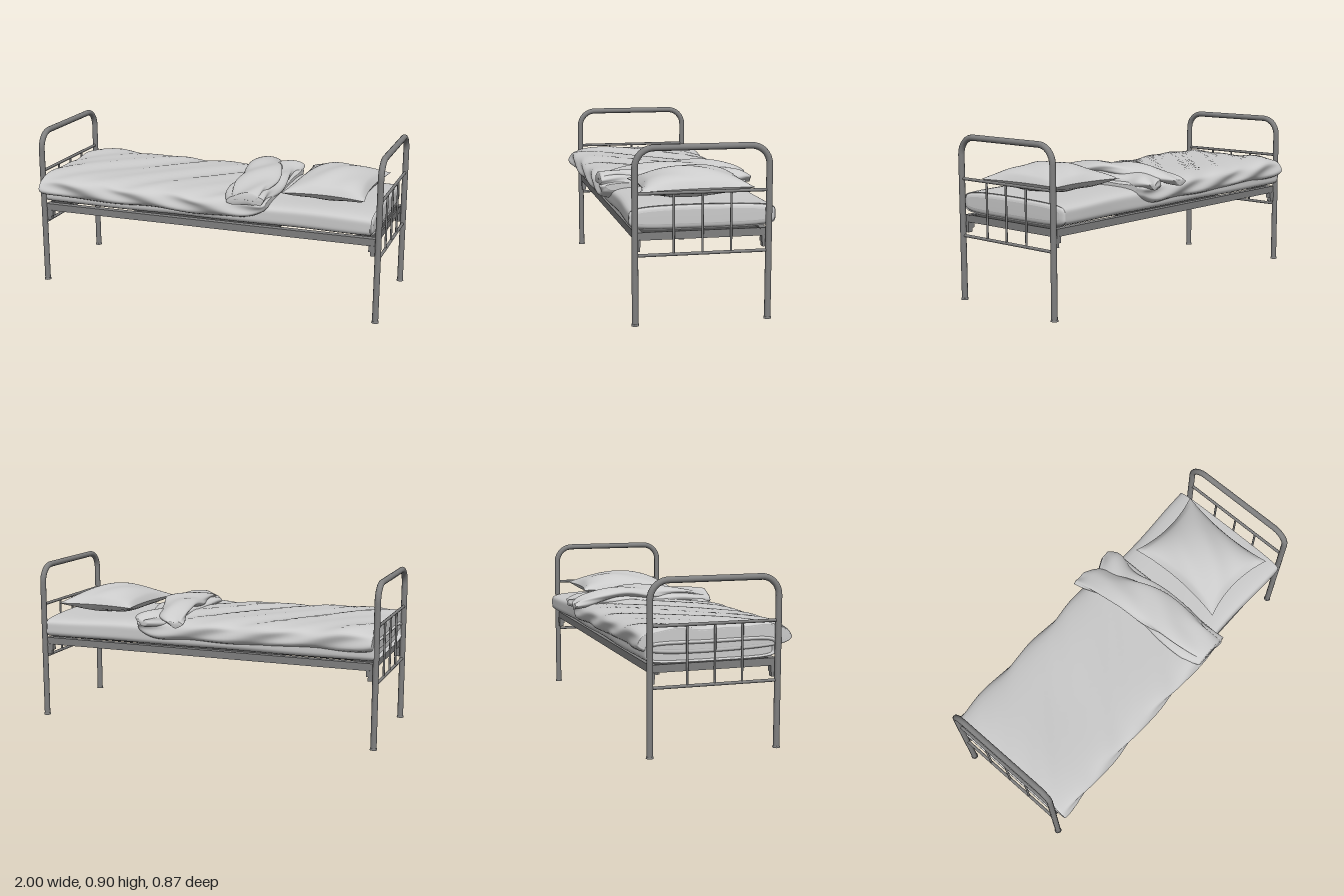
import * as THREE from 'three';

const metal = new THREE.MeshStandardMaterial({ color: 0x808080 });
const dark = new THREE.MeshStandardMaterial({ color: 0x4a4a4a });
const cloth = new THREE.MeshStandardMaterial({ color: 0xcccccc, side: THREE.DoubleSide });
const V = (x, y, z) => new THREE.Vector3(x, y, z);
const ZC = 0.008, ZP = 0.34; // frame centre line and post offset

function add(parent, name, geometry, material, x = 0, y = 0, z = 0) {
  const mesh = new THREE.Mesh(geometry, material);
  mesh.name = name;
  mesh.position.set(x, y, z);
  parent.add(mesh);
  return mesh;
}

// Straight round bar between two points
function bar(parent, name, a, b, r, material = metal, sides = 10) {
  const mesh = add(parent, name, new THREE.CylinderGeometry(r, r, a.distanceTo(b), sides), material);
  mesh.position.copy(a).add(b).multiplyScalar(0.5);
  mesh.quaternion.setFromUnitVectors(V(0, 1, 0), b.clone().sub(a).normalize());
}

// Smoothly blended row of a station table, t from 0 to 1
function sample(stations, t) {
  const f = t * (stations.length - 1);
  const i = Math.min(Math.floor(f), stations.length - 2);
  const k = f - i;
  return stations[i].map((v, c) => {
    const p0 = (stations[i - 1] || stations[i])[c], p1 = v;
    const p2 = stations[i + 1][c], p3 = (stations[i + 2] || stations[i + 1])[c];
    const m1 = (p2 - p0) / 2, m2 = (p3 - p1) / 2;
    return (2 * k ** 3 - 3 * k * k + 1) * p1 + (k ** 3 - 2 * k * k + k) * m1
      + (3 * k * k - 2 * k ** 3) * p2 + (k ** 3 - k * k) * m2;
  });
}

// Closed cushion-like skin: rows are [position, side0, side1, bottom, top].
// Along x the sides are z values; along z (descending) they are x values.
function loft(stations, rows, power, alongZ, wrinkle) {
  const n = 64, pos = [], idx = [];
  const put = (d, s, y) => (alongZ ? pos.push(s, y, d) : pos.push(d, y, s));
  for (let i = 0; i <= rows; i++) {
    const [d, s0, s1, y0, y1] = sample(stations, i / rows);
    for (let j = 0; j < n; j++) {
      const a = (j / n) * Math.PI * 2, c = Math.cos(a), s = Math.sin(a);
      const r = 1 / (Math.abs(c) ** power + Math.abs(s) ** power) ** (1 / power);
      const side = (s0 + s1) / 2 + (s1 - s0) / 2 * r * c;
      const [dSide, dY] = wrinkle(d, side, r * c, r * s);
      put(d, side + dSide, (y0 + y1) / 2 + (y1 - y0) / 2 * r * s + dY);
    }
  }
  for (let i = 0; i < rows; i++) for (let j = 0; j < n; j++) {
    const a = i * n + j, b = i * n + (j + 1) % n;
    idx.push(a, a + n, b, b, a + n, b + n);
  }
  // End caps
  for (const end of [0, rows]) {
    const [d, s0, s1, y0, y1] = sample(stations, end / rows);
    const centre = pos.length / 3;
    put(d, (s0 + s1) / 2, (y0 + y1) / 2);
    for (let j = 0; j < n; j++) {
      const a = end * n + j, b = end * n + (j + 1) % n;
      end ? idx.push(centre, b, a) : idx.push(centre, a, b);
    }
  }
  const g = new THREE.BufferGeometry();
  g.setAttribute('position', new THREE.Float32BufferAttribute(pos, 3));
  g.setIndex(idx);
  g.computeVertexNormals();
  return g;
}

// Bent tube end with rails, spindles and feet
function endFrame(name, x) {
  const g = new THREE.Group();
  g.name = name;
  const top = 0.883, R = 0.095, k = R * 0.45;
  const path = new THREE.CurvePath();
  path.add(new THREE.LineCurve3(V(0, 0, ZP), V(0, top - R, ZP)));
  path.add(new THREE.CubicBezierCurve3(V(0, top - R, ZP), V(0, top - k, ZP), V(0, top, ZP - k), V(0, top, ZP - R)));
  path.add(new THREE.LineCurve3(V(0, top, ZP - R), V(0, top, R - ZP)));
  path.add(new THREE.CubicBezierCurve3(V(0, top, R - ZP), V(0, top, k - ZP), V(0, top - k, -ZP), V(0, top - R, -ZP)));
  path.add(new THREE.LineCurve3(V(0, top - R, -ZP), V(0, 0, -ZP)));
  add(g, 'bentTube', new THREE.TubeGeometry(path, 120, 0.0165, 14), metal);
  for (const z of [-ZP, ZP]) add(g, 'foot', new THREE.CylinderGeometry(0.018, 0.02, 0.01, 14), metal, 0, 0.005, z);
  for (const y of [0.353, 0.66]) bar(g, 'crossRail', V(0, y, -ZP), V(0, y, ZP), 0.0085);
  for (const z of [-0.146, 0, 0.146]) bar(g, 'spindle', V(0, 0.353, z), V(0, 0.66, z), 0.006);
  g.position.set(x, 0, ZC);
  return g;
}

function bedBase() {
  const g = new THREE.Group();
  g.name = 'bedBase';
  for (const s of [-1, 1]) {
    // Angle-iron side and end rails
    add(g, 'sideRail', new THREE.BoxGeometry(1.94, 0.04, 0.008), metal, 0, 0.445, s * 0.334);
    add(g, 'sideRailLip', new THREE.BoxGeometry(1.94, 0.006, 0.035), metal, 0, 0.462, s * 0.318);
    add(g, 'endRail', new THREE.BoxGeometry(0.008, 0.04, 0.66), metal, s * 0.962, 0.445, 0);
    add(g, 'endPlate', new THREE.BoxGeometry(0.11, 0.006, 0.66), dark, s * 0.905, 0.455, 0);
    for (const z of [-1, 1]) {
      add(g, 'bracket', new THREE.BoxGeometry(0.04, 0.035, 0.03), metal, s * 0.95, 0.41, z * 0.325);
      add(g, 'bracketHook', new THREE.BoxGeometry(0.03, 0.025, 0.025), metal, s * 0.955, 0.382, z * 0.325);
    }
    // Springs holding the centre sheet
    for (const z of [-0.23, -0.08, 0.08, 0.23])
      bar(g, 'spring', V(s * 0.42, 0.455, z), V(s * 0.86, 0.455, z), 0.005, dark, 8);
  }
  add(g, 'centreSheet', new THREE.BoxGeometry(0.87, 0.006, 0.66), dark, -0.01, 0.455, 0);
  g.position.z = ZC;
  return g;
}

// Two bulging grids with pinched corners
function pillowGeometry() {
  const n = 28, pos = [], idx = [];
  for (const side of [1, -1]) {
    const base = pos.length / 3;
    for (let i = 0; i <= n; i++) for (let j = 0; j <= n; j++) {
      const u = (i / n) * 2 - 1, v = (j / n) * 2 - 1;
      const bulge = Math.pow((1 - u * u) * (1 - v * v), side > 0 ? 0.55 : 0.45);
      const crease = 0.004 * Math.sin(7 * u + 5 * v) * bulge;
      pos.push(
        u * 0.232 * (1 - 0.13 * (1 - v * v)) + 0.012 * v * -0.8,
        side * bulge * (side > 0 ? 0.09 : 0.062) + crease,
        v * 0.295 * (1 - 0.13 * (1 - u * u)) + 0.008 * u);
      if (i < n && j < n) {
        const a = base + i * (n + 1) + j, b = a + 1, c = a + n + 1, d = c + 1;
        side > 0 ? idx.push(a, b, c, b, d, c) : idx.push(a, c, b, b, c, d);
      }
    }
  }
  const g = new THREE.BufferGeometry();
  g.setAttribute('position', new THREE.Float32BufferAttribute(pos, 3));
  g.setIndex(idx);
  g.computeVertexNormals();
  return g;
}

export function createModel() {
  const model = new THREE.Group();
  model.name = 'bed';
  model.add(endFrame('headFrame', 0.982), endFrame('footFrame', -0.982), bedBase());

  const soft = new THREE.Group();
  soft.name = 'bedding';
  model.add(soft);

  add(soft, 'mattress', loft([
    [-0.955, -0.33, 0.33, 0.48, 0.55], [-0.93, -0.36, 0.355, 0.467, 0.59], [-0.4, -0.36, 0.36, 0.466, 0.6],
    [0.3, -0.36, 0.36, 0.466, 0.6], [0.88, -0.37, 0.365, 0.467, 0.595], [0.94, -0.372, 0.365, 0.475, 0.585],
    [0.953, -0.34, 0.34, 0.5, 0.565],
  ], 70, 5, false, (x, z, c, s) => [0.005 * Math.sin(9 * x) * c, 0.004 * Math.sin(8 * x + 6 * z) * Math.max(s, 0)]), cloth);

  // Blanket with diagonal creases and a wavy hem
  add(soft, 'blanket', loft([
    [-0.97, -0.375, 0.415, 0.54, 0.63], [-0.95, -0.385, 0.425, 0.515, 0.645], [-0.8, -0.385, 0.42, 0.51, 0.655],
    [-0.5, -0.385, 0.415, 0.505, 0.645], [-0.2, -0.385, 0.41, 0.5, 0.642], [0.1, -0.39, 0.41, 0.497, 0.635],
    [0.26, -0.395, 0.415, 0.505, 0.635], [0.35, -0.39, 0.42, 0.545, 0.63], [0.375, -0.35, 0.39, 0.575, 0.62],
  ], 110, 4, false, (x, z, c, s) => {
    const t = x + 0.9 * z;
    const crease = 0.005 * Math.sin(15 * t) + 0.004 * Math.sin(27 * t + 2 * z + 1);
    return [0.008 * Math.sin(17 * x + 4 * s) * c ** 4 * Math.sign(c),
      s > 0 ? crease * s : 0.006 * Math.sin(11 * x + 2 * c) * s];
  }), cloth);

  // Turned-back edge: a lower roll and a twisted flap over it
  const roll = (z, x, c, s) => [0.008 * Math.sin(14 * z + 3 * s), 0.006 * Math.sin(18 * z + 3 * c)];
  add(soft, 'blanketRoll', loft([
    [0.42, 0.17, 0.37, 0.6, 0.655], [0.3, 0.13, 0.37, 0.59, 0.66], [0.1, 0.12, 0.38, 0.585, 0.665],
    [-0.1, 0.14, 0.37, 0.585, 0.665], [-0.25, 0.15, 0.355, 0.585, 0.665], [-0.36, 0.18, 0.37, 0.59, 0.66],
    [-0.425, 0.29, 0.34, 0.6, 0.63],
  ], 60, 3, true, roll), cloth);
  add(soft, 'blanketFlap', loft([
    [0.42, 0.2, 0.34, 0.625, 0.665], [0.25, 0.16, 0.35, 0.635, 0.685], [0.05, 0.13, 0.35, 0.64, 0.705],
    [-0.12, 0.12, 0.315, 0.645, 0.71], [-0.26, 0.1, 0.265, 0.635, 0.695], [-0.38, 0.075, 0.22, 0.61, 0.665],
    [-0.44, 0.07, 0.15, 0.605, 0.635],
  ], 60, 2.4, true, roll), cloth);

  const pillow = add(soft, 'pillow', pillowGeometry(), cloth, 0.67, 0.657, 0.005);
  pillow.rotation.x = 0.02;
  return model;
}
